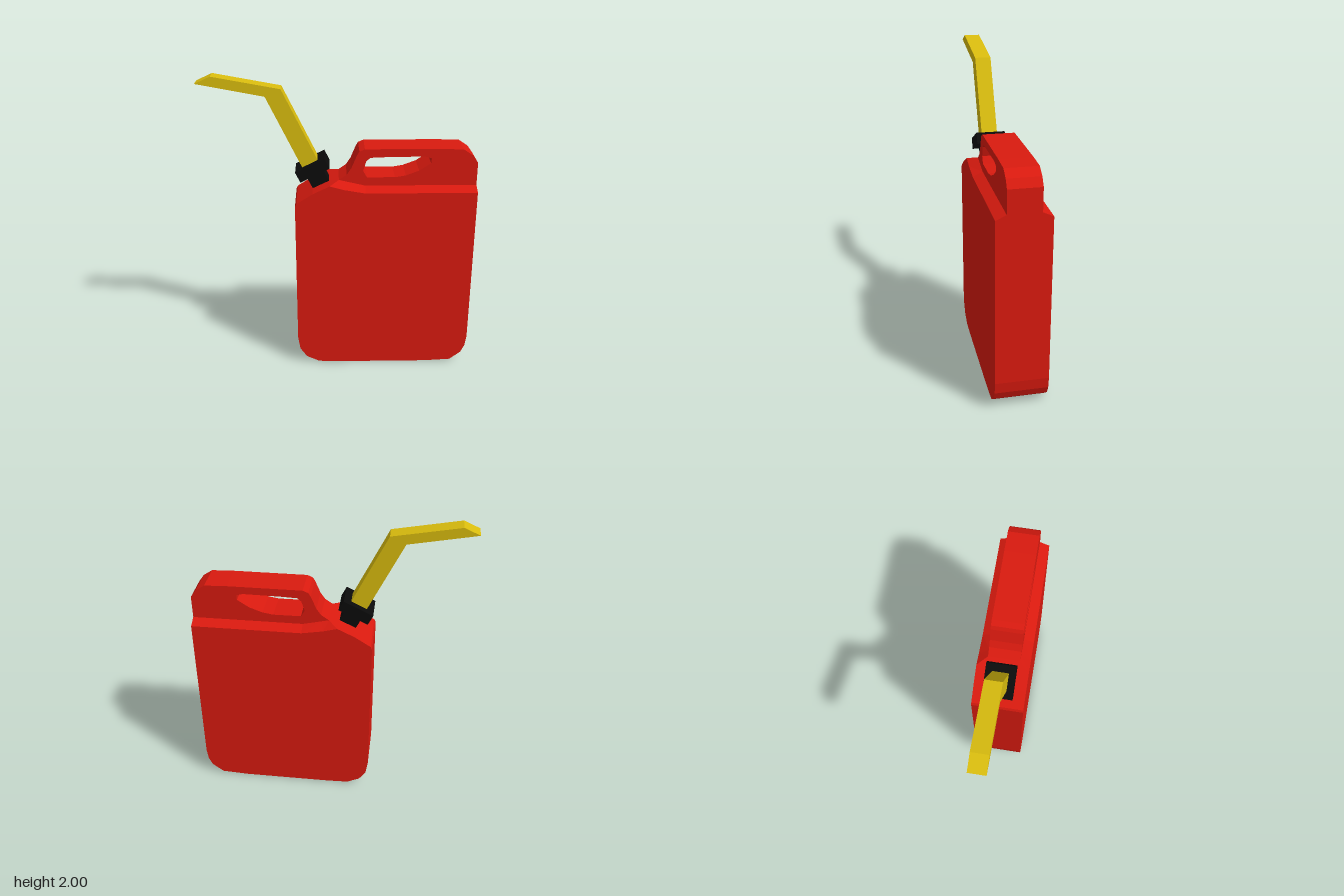
import * as THREE from 'three';

const red = new THREE.MeshStandardMaterial({ color: 0xd91a0f, flatShading: true });
const yellow = new THREE.MeshStandardMaterial({ color: 0xd9bc0e, flatShading: true });
const black = new THREE.MeshStandardMaterial({ color: 0x0b0b0b, flatShading: true });

const toPoints = (list) => list.map(([x, y]) => new THREE.Vector2(x, y));

function addMesh(parent, name, geometry, material) {
  const mesh = new THREE.Mesh(geometry, material);
  mesh.name = name;
  parent.add(mesh);
  return mesh;
}

// Side profile extruded symmetrically about z = 0
function slab(outline, halfDepth, hole) {
  const shape = new THREE.Shape(toPoints(outline));
  if (hole) shape.holes.push(new THREE.Path(toPoints(hole)));
  const geometry = new THREE.ExtrudeGeometry(shape, { depth: halfDepth * 2, bevelEnabled: false });
  return geometry.translate(0, 0, -halfDepth);
}

// Solid ridge lofted between an outer (wide) and an inner (narrow, raised) edge
function ridge(outer, inner, outerZ, innerZ) {
  const positions = [];
  const index = [];
  outer.forEach(([ox, oy], i) => {
    const [ix, iy] = inner[i];
    positions.push(ox, oy, outerZ, ix, iy, innerZ, ix, iy, -innerZ, ox, oy, -outerZ);
    if (i === 0) return;
    const a = (i - 1) * 4;
    const b = i * 4;
    for (let k = 0; k < 3; k++) {
      index.push(a + k, b + k, b + k + 1, a + k, b + k + 1, a + k + 1);
    }
  });
  const e = (outer.length - 1) * 4;
  index.push(0, 1, 2, 0, 2, 3, e, e + 2, e + 1, e, e + 3, e + 2);
  const geometry = new THREE.BufferGeometry();
  geometry.setAttribute('position', new THREE.Float32BufferAttribute(positions, 3));
  geometry.setIndex(index);
  const flat = geometry.toNonIndexed();
  flat.computeVertexNormals();
  return flat;
}

export function createModel() {
  const model = new THREE.Group();
  model.name = 'fuelCan';

  // Tank with rounded lower corners and a sloped neck
  const shoulderOuter = [[-0.06, 1.32], [0.03, 1.295], [0.17, 1.27], [0.89, 1.27]];
  const shoulderInner = [[0, 1.34], [0.05, 1.328], [0.17, 1.3], [0.89, 1.3]];
  const tank = [
    [-0.14, 0.005], [0, 0], [0.6, 0], [0.78, 0.01], [0.855, 0.07], [0.88, 0.125], [0.89, 0.2],
    ...shoulderOuter.slice().reverse(),
    [-0.17, 1.267], [-0.275, 1.2], [-0.284, 1.18],
    [-0.284, 0.2], [-0.27, 0.11], [-0.225, 0.046],
  ];
  addMesh(model, 'tank', slab(tank, 0.168), red);

  // Sloped shoulders between tank and handle
  addMesh(model, 'shoulders', ridge(shoulderOuter, shoulderInner, 0.168, 0.103), red);

  // Handle with its grip opening
  const handle = [
    [0, 1.25], [0.89, 1.25], [0.89, 1.45], [0.855, 1.5], [0.795, 1.54], [0.65, 1.545],
    [0.165, 1.545], [0.13, 1.53], [0.115, 1.505], [0.08, 1.42], [0.05, 1.375], [0, 1.34],
  ];
  const grip = [
    [0.155, 1.4], [0.175, 1.465], [0.2, 1.488], [0.3, 1.492], [0.55, 1.495], [0.592, 1.482],
    [0.59, 1.45], [0.515, 1.4], [0.43, 1.368], [0.36, 1.356], [0.18, 1.357],
  ];
  addMesh(model, 'handle', slab(handle, 0.103, grip), red);

  // Tilted cap: wide collar on a narrower stem
  const cap = new THREE.Group();
  cap.name = 'cap';
  cap.position.set(-0.17, 1.4, 0);
  cap.rotation.z = 0.464;
  addMesh(cap, 'collar', new THREE.BoxGeometry(0.21, 0.074, 0.19), black);
  addMesh(cap, 'stem', new THREE.BoxGeometry(0.117, 0.12, 0.117), black).position.y = -0.075;
  model.add(cap);

  // Bent square spout with a slanted tip
  const spout = [
    [-0.22, 1.376], [-0.12, 1.426], [-0.36, 1.92], [-0.79, 2], [-0.89, 1.955], [-0.46, 1.873],
  ];
  addMesh(model, 'spout', slab(spout, 0.052), yellow);

  return model;
}
